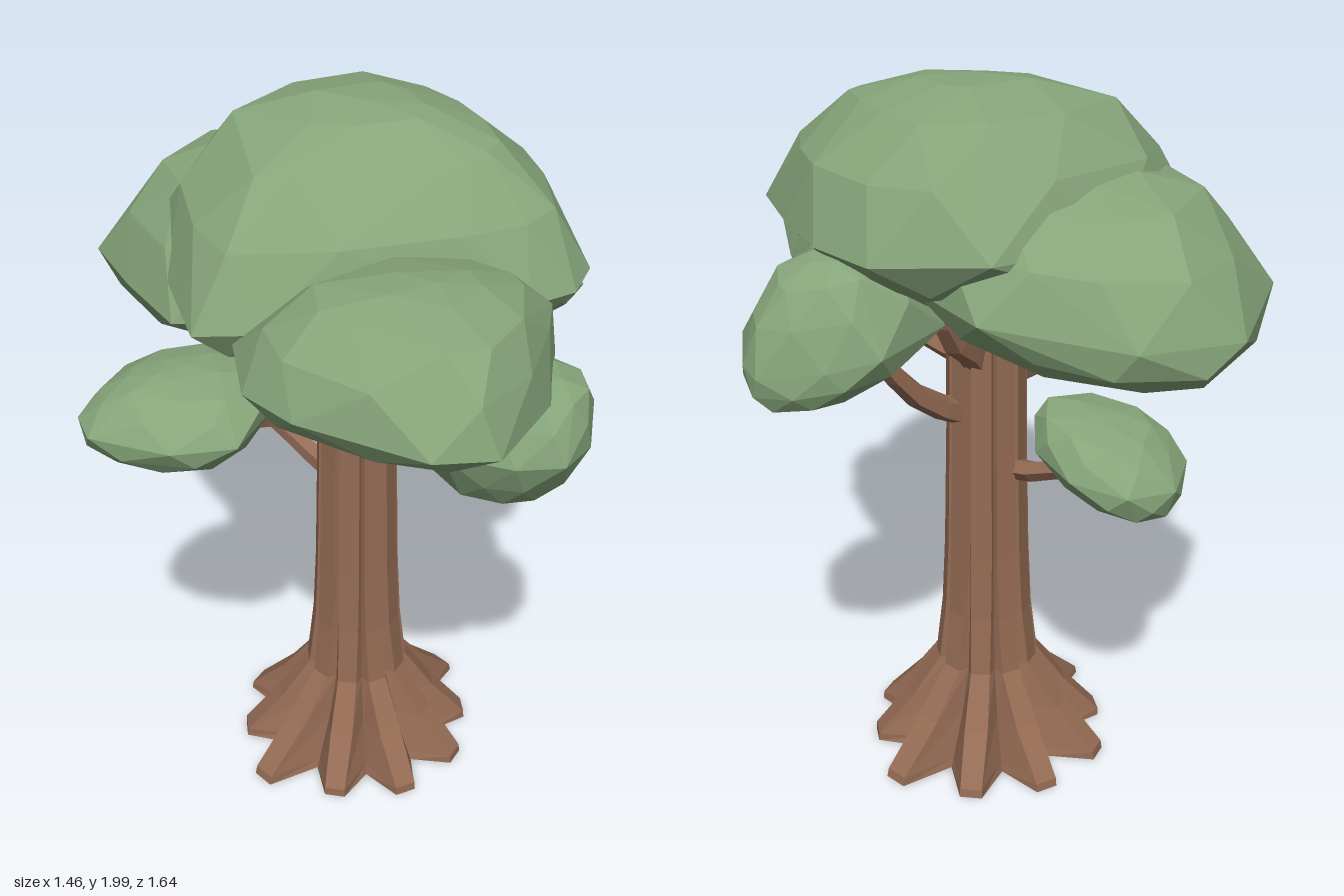
import * as THREE from 'three';
import { ConvexGeometry } from 'three/addons/geometries/ConvexGeometry.js';

const leafMat = new THREE.MeshStandardMaterial({ color: 0x86a57a, flatShading: true });
const barkMat = new THREE.MeshStandardMaterial({ color: 0x946b54, flatShading: true });

function seeded(seed) {
  let s = seed * 7919 + 17;
  return () => (s = (s * 16807) % 2147483647) / 2147483647;
}

// Faceted leaf clump: a rim of corners, domed up to an apex and down to a base;
// taper above 1 gives a pointed dome, below 1 a full one
function clump(name, apex, base, taper, rimPoints, seed) {
  const rnd = seeded(seed);
  const rim = rimPoints.map((p) => new THREE.Vector3(...p));
  const n = rim.length;
  const center = rim.reduce((sum, p) => sum.add(p), new THREE.Vector3()).divideScalar(n);
  const points = [...rim];
  for (const pole of [apex, base]) {
    const axis = new THREE.Vector3(...pole).sub(center);
    // rings of corners at rising angles, staggered against each other
    for (const [angle, stagger, step] of [[0.48, 0.5, 1], [0.95, 0, 1], [1.32, 0.5, 2]]) {
      const out = Math.cos(angle) ** taper, up = Math.sin(angle);
      for (let i = 0; i < n; i += step) {
        const t = stagger + (rnd() - 0.5) * 0.3;
        const p = rim[i].clone().lerp(rim[(i + 1) % n], Math.max(0, t)).sub(center);
        const wobble = 0.96 + rnd() * 0.08;
        points.push(p.multiplyScalar(out * wobble).addScaledVector(axis, up).add(center));
      }
    }
    points.push(new THREE.Vector3(...pole));
  }
  const mesh = new THREE.Mesh(new ConvexGeometry(points), leafMat);
  mesh.name = name;
  return mesh;
}

// Tapered limb along a curve
function branch(name, pts, r0, r1) {
  const steps = 4, sides = 5;
  const path = new THREE.CatmullRomCurve3(pts.map((p) => new THREE.Vector3(...p)));
  const geo = new THREE.TubeGeometry(path, steps, r0, sides);
  const pos = geo.attributes.position;
  const v = new THREE.Vector3();
  for (let i = 0; i < pos.count; i++) {
    const t = Math.floor(i / (sides + 1)) / steps;
    const c = path.getPointAt(t);
    v.fromBufferAttribute(pos, i).sub(c).multiplyScalar(THREE.MathUtils.lerp(1, r1 / r0, t)).add(c);
    pos.setXYZ(i, v.x, v.y, v.z);
  }
  const mesh = new THREE.Mesh(geo, barkMat);
  mesh.name = name;
  return mesh;
}

// Fluted trunk: broad ribs that narrow and spread into roots
function trunk() {
  // height, rib radius, groove radius, share of rib width left to the groove
  const levels = [
    [0.005, 0.37, 0.24, 0.36], [0.03, 0.365, 0.225, 0.36], [0.15, 0.245, 0.165, 0.28],
    [0.28, 0.148, 0.122, 0.2], [0.45, 0.128, 0.11, 0.14], [0.65, 0.119, 0.104, 0.1],
    [1.0, 0.111, 0.097, 0.1], [1.36, 0.107, 0.093, 0.1],
  ];
  const reach = [0.92, 0.9, 1.04, 0.96, 0.97, 0.98, 0.92, 1.03, 0.9, 0.93];
  const ribs = reach.length, cols = ribs * 3, rows = levels.length - 1;
  const geo = new THREE.CylinderGeometry(1, 1, 1, cols, rows);
  const pos = geo.attributes.position;
  for (let i = 0; i < pos.count; i++) {
    const x = pos.getX(i), z = pos.getZ(i);
    const [y, outer, inner, gap] = levels[Math.round((pos.getY(i) + 0.5) * rows)];
    if (Math.hypot(x, z) < 0.5) {
      pos.setXYZ(i, 0.015, y, 0);
      continue;
    }
    const col = (Math.round((Math.atan2(x, z) / (2 * Math.PI)) * cols) + cols) % cols;
    const rib = Math.floor(col / 3), part = col % 3;
    const a = ((rib + [0, gap, 1 - gap][part]) / ribs) * 2 * Math.PI;
    const flare = Math.max(0, 1 - y / 0.3);
    const r = part === 0 ? inner : outer * THREE.MathUtils.lerp(1, reach[rib], flare);
    pos.setXYZ(i, 0.015 + Math.sin(a) * r, y, Math.cos(a) * r);
  }
  const mesh = new THREE.Mesh(geo, barkMat);
  mesh.name = 'trunk';
  return mesh;
}

export function createModel() {
  const tree = new THREE.Group();
  tree.name = 'tree';
  tree.add(trunk());

  // Limbs
  tree.add(
    branch('leftBranch', [[0.07, 1.06, 0.02], [0.15, 1.1, 0.02], [0.26, 1.18, 0.03], [0.38, 1.33, 0.04]], 0.04, 0.026),
    branch('rightBranch', [[-0.05, 1.15, -0.02], [-0.15, 1.16, -0.04], [-0.28, 1.2, -0.07], [-0.45, 1.22, -0.1]], 0.035, 0.022),
    branch('frontBranch', [[0, 1.19, 0.06], [-0.01, 1.18, 0.17], [-0.02, 1.19, 0.28], [-0.03, 1.26, 0.45]], 0.033, 0.022),
    branch('backBranch', [[0, 0.9, -0.07], [0, 0.91, -0.13], [-0.01, 0.95, -0.24], [-0.02, 0.99, -0.38]], 0.033, 0.022),
    branch('upperLeftBranch', [[0.06, 1.22, -0.02], [0.12, 1.28, -0.04], [0.21, 1.35, -0.06], [0.26, 1.48, -0.07]], 0.045, 0.03),
    branch('upperBackBranch', [[0, 1.26, -0.04], [-0.01, 1.34, -0.08], [-0.02, 1.42, -0.15], [-0.02, 1.5, -0.22]], 0.05, 0.03),
    branch('upperRightBranch', [[-0.03, 1.26, 0.03], [-0.08, 1.36, 0.05], [-0.11, 1.46, 0.1], [-0.14, 1.53, 0.15]], 0.045, 0.03),
    branch('leader', [[0.01, 1.3, 0], [0.02, 1.4, 0.01], [0.02, 1.6, 0.02]], 0.085, 0.06),
  );

  // Leaf clumps
  tree.add(
    clump('mainCrown', [0.06, 1.99, 0], [0.03, 1.43, 0], 0.9, [
      [0.54, 1.64, -0.12], [0.53, 1.64, 0.08], [0.45, 1.64, 0.28], [0.33, 1.63, 0.5], [0.22, 1.62, 0.55],
      [0.1, 1.61, 0.51], [-0.1, 1.59, 0.36], [-0.43, 1.57, 0.12], [-0.53, 1.56, 0.01], [-0.42, 1.59, -0.23],
      [-0.28, 1.65, -0.44], [0.1, 1.67, -0.48], [0.4, 1.67, -0.38],
    ], 3),
    clump('backCrown', [0, 1.82, -0.32], [0, 1.34, -0.46], 0.85, [
      [-0.47, 1.51, -0.15], [-0.42, 1.51, -0.4], [-0.34, 1.5, -0.65], [0.02, 1.5, -0.82], [0.25, 1.5, -0.69],
      [0.31, 1.51, -0.54], [0.43, 1.53, -0.36], [0.38, 1.54, -0.1], [0, 1.53, 0.03], [-0.32, 1.53, 0.02],
    ], 8),
    clump('frontCrown', [-0.2, 1.77, 0.5], [-0.2, 1.38, 0.42], 0.85, [
      [-0.59, 1.54, 0.27], [-0.58, 1.53, 0.43], [-0.46, 1.52, 0.74], [-0.33, 1.51, 0.82], [-0.08, 1.51, 0.74],
      [0.12, 1.51, 0.58], [0.17, 1.51, 0.5], [0.1, 1.53, 0.33], [-0.1, 1.54, 0.14], [-0.47, 1.55, 0.09],
    ], 4),
    clump('leftClump', [0.5, 1.63, 0.05], [0.57, 1.265, 0.06], 1.0, [
      [0.54, 1.42, -0.16], [0.64, 1.39, -0.07], [0.73, 1.36, 0.08], [0.71, 1.37, 0.15], [0.62, 1.4, 0.26],
      [0.45, 1.42, 0.28], [0.25, 1.42, 0.2], [0.16, 1.41, 0.04], [0.3, 1.43, -0.13],
    ], 6),
    clump('frontClump', [0, 1.53, 0.64], [-0.03, 1.17, 0.55], 0.8, [
      [-0.23, 1.35, 0.55], [-0.16, 1.36, 0.72], [-0.08, 1.37, 0.8], [0.03, 1.37, 0.78], [0.13, 1.37, 0.66],
      [0.14, 1.37, 0.5], [0.05, 1.33, 0.34], [-0.13, 1.32, 0.36],
    ], 9),
    clump('rightClump', [-0.45, 1.4, -0.12], [-0.52, 1.175, -0.13], 0.75, [
      [-0.73, 1.28, -0.17], [-0.69, 1.28, -0.27], [-0.6, 1.28, -0.33], [-0.47, 1.28, -0.36], [-0.31, 1.29, -0.28],
      [-0.25, 1.3, -0.1], [-0.31, 1.3, 0.05], [-0.5, 1.29, 0.13], [-0.63, 1.28, 0.03],
    ], 12),
    clump('backClump', [0, 1.165, -0.37], [-0.02, 0.94, -0.47], 0.75, [
      [-0.23, 1.05, -0.42], [-0.16, 1.03, -0.55], [-0.02, 1.02, -0.62], [0.11, 1.03, -0.57], [0.17, 1.05, -0.43],
      [0.13, 1.07, -0.28], [0.02, 1.09, -0.19], [-0.14, 1.08, -0.24],
    ], 15),
  );
  return tree;
}
